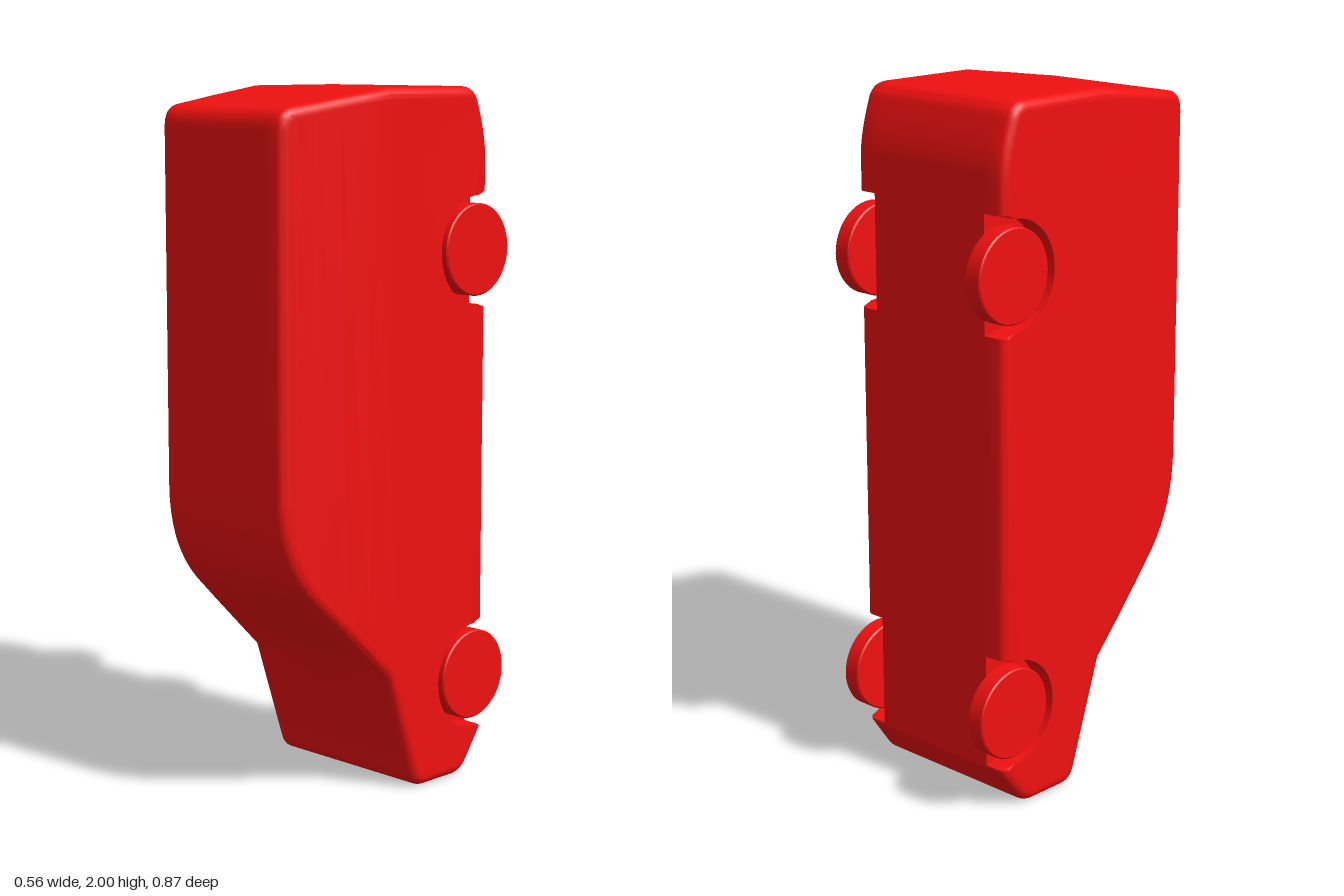
import * as THREE from 'three';
import { toCreasedNormals } from 'three/addons/utils/BufferGeometryUtils.js';

const HALF = 0.28, WELL = 0.21, BEVEL = 0.028, FLOOR = -0.345;
const WHEEL_Y = [1.54, 0.292], WHEEL_Z = -0.302;
const BANDS = [-1, 0.06, 0.15, 0.24, 0.32, 1]; // side panel strips, so it can curve inwards

// Side outline in (z, y), running from the nose over the hood to the roof and the tail
function bodyOutline() {
  const p = new THREE.Path();
  p.moveTo(FLOOR, 0.12);
  p.lineTo(-0.285, 0.035);
  p.quadraticCurveTo(-0.262, 0.0, -0.22, 0.0);
  p.lineTo(-0.1, 0.0);
  p.quadraticCurveTo(-0.055, 0.0, -0.042, 0.045);
  p.lineTo(0.06, 0.35);
  p.lineTo(0.15, 0.437);
  p.lineTo(0.24, 0.523);
  p.lineTo(0.32, 0.6);
  p.bezierCurveTo(0.4, 0.68, 0.435, 0.78, 0.435, 0.89);
  p.lineTo(0.435, 1.89);
  p.quadraticCurveTo(0.435, 1.947, 0.385, 1.954);
  p.lineTo(0.32, 1.963);
  p.lineTo(0.24, 1.975);
  p.lineTo(0.15, 1.987);
  p.lineTo(0.06, 2.0);
  p.lineTo(-0.25, 2.0);
  p.quadraticCurveTo(-0.3, 2.0, -0.313, 1.95);
  p.quadraticCurveTo(FLOOR, 1.86, FLOOR, 1.8);
  return p.getPoints(8);
}

// Attach to each point the direction in which the rounded edge pulls it inwards
function withNormals(points) {
  const n = points.length;
  const edge = (a, b) => new THREE.Vector2(b.y - a.y, a.x - b.x).normalize();
  return points.map((p, i) => {
    const e = edge(points[(i + n - 1) % n], p), f = edge(p, points[(i + 1) % n]);
    const k = 1 + e.dot(f);
    return { p, n: e.add(f).divideScalar(k) };
  });
}

// Wheel arch cut into the floor line; only its end points follow the rounded edge
function archPoints(y) {
  const out = [];
  const add = (z, yy, nz) => out.push({ p: new THREE.Vector2(z, yy), n: new THREE.Vector2(nz, 0) });
  add(FLOOR, y + 0.165, -1);
  for (let i = 0; i <= 24; i++) {
    const a = Math.PI * (0.5 - i / 24);
    add(WHEEL_Z + 0.155 * Math.cos(a), y + 0.155 * Math.sin(a), 0);
  }
  add(FLOOR, y - 0.165, -1);
  return out;
}

function bodyHalf(side) {
  const pos = [];
  const tri = (a, b, c) => {
    for (const v of side > 0 ? [a, b, c] : [a, c, b]) pos.push(...v);
  };
  // The upper body narrows towards +z
  const place = (x, inset) => ({ p, n }) => {
    const z = p.x - n.x * inset, y = p.y - n.y * inset;
    return [side * x * (1 - 0.157 * Math.pow(Math.max(z, 0) / 0.435, 1.5)), y, z];
  };
  const skin = (outline, stations) => {
    const rings = stations.map(([x, inset]) => outline.map(place(x, inset)));
    for (let k = 0; k + 1 < rings.length; k++) {
      outline.forEach((_, i) => {
        const j = (i + 1) % outline.length, A = rings[k], B = rings[k + 1];
        tri(A[i], B[i], B[j]);
        tri(A[i], B[j], A[j]);
      });
    }
    // Close the outer end strip by strip
    const last = rings[rings.length - 1];
    for (let b = 0; b + 1 < BANDS.length; b++) {
      const ids = outline.map((_, i) => i).filter(i =>
        outline[i].p.x >= BANDS[b] - 1e-6 && outline[i].p.x <= BANDS[b + 1] + 1e-6);
      const flat = ids.map(i => new THREE.Vector2(last[i][2], last[i][1]));
      for (const [a, c, d] of THREE.ShapeUtils.triangulateShape(flat, [])) {
        tri(last[ids[a]], last[ids[d]], last[ids[c]]);
      }
    }
  };

  // Core between the wheel wells, then the outer slab with arches and rounded edge
  const full = withNormals(bodyOutline());
  skin(full, [[0, 0], [WELL, 0]]);
  const stations = [[WELL, 0]];
  for (let i = 0; i <= 6; i++) {
    const t = i / 6 * Math.PI / 2;
    stations.push([HALF - BEVEL + BEVEL * Math.sin(t), BEVEL * (1 - Math.cos(t))]);
  }
  stations.push([HALF, BEVEL + 0.004]);
  skin([...full, ...WHEEL_Y.flatMap(archPoints)], stations);

  const g = new THREE.BufferGeometry();
  g.setAttribute('position', new THREE.Float32BufferAttribute(pos, 3));
  return toCreasedNormals(g, 0.5);
}

export function createModel() {
  const group = new THREE.Group();
  const red = new THREE.MeshStandardMaterial({ color: 0xf01010 });

  // Wheel disc with slightly eased rims, axle along x
  const profile = [[0, -0.0275], [0.128, -0.0275], [0.132, -0.0235], [0.132, 0.0235], [0.128, 0.0275], [0, 0.0275]]
    .map(([r, h]) => new THREE.Vector2(r, h));
  const wheelGeo = toCreasedNormals(new THREE.LatheGeometry(profile, 48), 0.5).rotateZ(Math.PI / 2);

  for (const side of [1, -1]) {
    const name = side > 0 ? 'Left' : 'Right';
    const half = new THREE.Mesh(bodyHalf(side), red);
    half.name = 'body' + name;
    group.add(half);
    WHEEL_Y.forEach((y, i) => {
      const wheel = new THREE.Mesh(wheelGeo, red);
      wheel.name = (i ? 'frontWheel' : 'rearWheel') + name;
      wheel.position.set(side * 0.2525, y, WHEEL_Z);
      group.add(wheel);
    });
  }
  return group;
}
